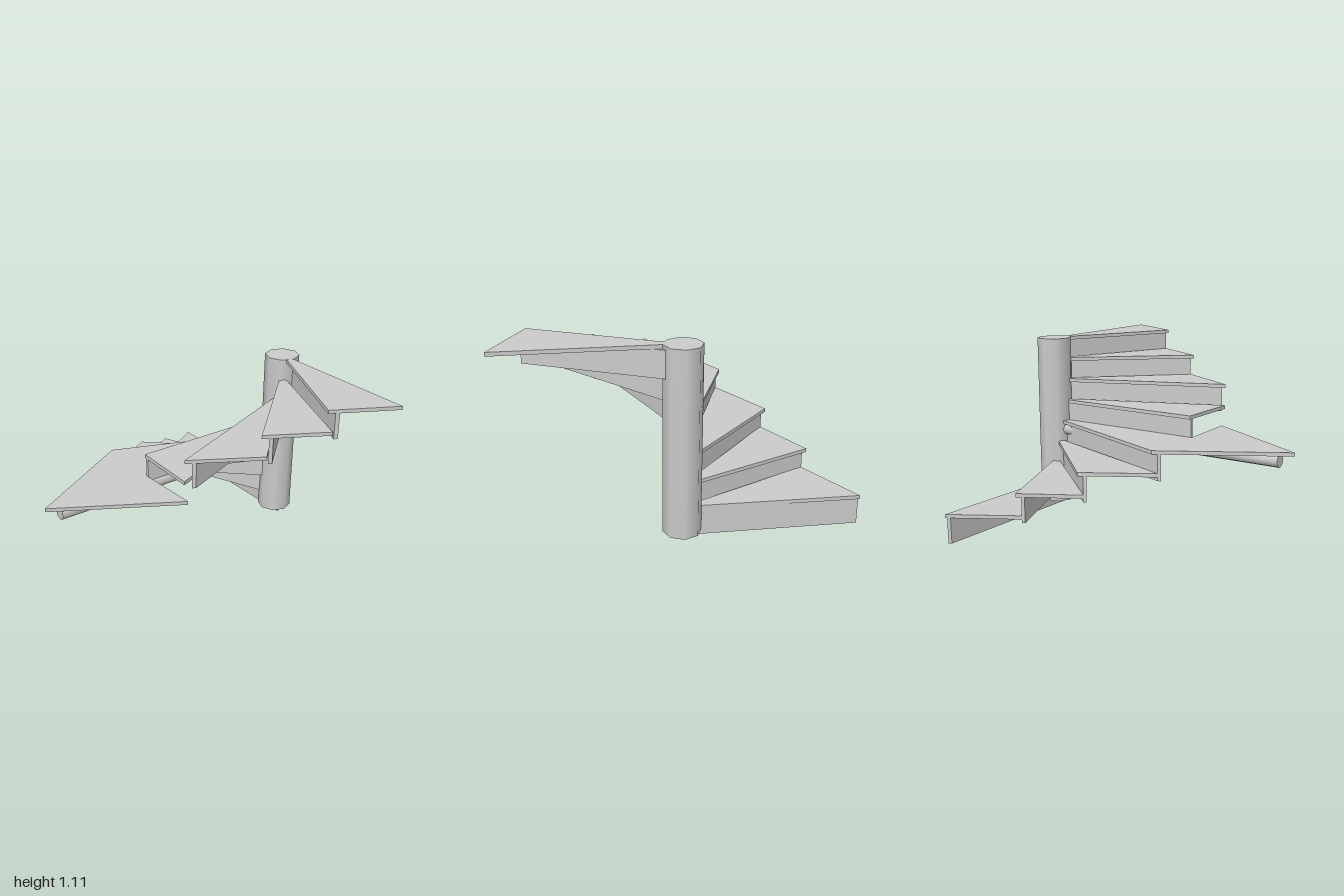
import * as THREE from 'three';

const material = new THREE.MeshStandardMaterial({ color: 0xcccccc });
const RISE = 0.133, FIRST_TOP = 0.178, THICK = 0.022, RISER_HEIGHT = 0.155;
const CENTRE = [0, -0.81];

// Flat slab from an outline of [x, z] points, between two heights
function slab(name, outline, bottom, top) {
  const shape = new THREE.Shape(outline.map(([x, z]) => new THREE.Vector2(x, -z)));
  const geometry = new THREE.ExtrudeGeometry(shape, { depth: top - bottom, bevelEnabled: false });
  geometry.rotateX(-Math.PI / 2).translate(0, bottom, 0);
  const mesh = new THREE.Mesh(geometry, material);
  mesh.name = name;
  return mesh;
}

// Point moved a distance along a direction
const shift = ([x, z], [dx, dz], d) => [x + dx * d, z + dz * d];

export function createModel() {
  const group = new THREE.Group();
  group.name = 'windingStaircase';

  // Outer ends of the step noses, from the lowest step to the highest
  const ends = [
    [-1, -0.82], [-0.79, -0.46], [-0.615, -0.145], [-0.4, 0.22], [-0.01, 0.23],
    [0.397, 0.24], [0.612, -0.125], [0.79, -0.44], [0.99, -0.81],
  ];
  // Directions of the outer sides
  const leftWall = [0.5, 0.866], front = [1, 0], rightWall = [0.5, -0.866];

  for (let i = 0; i < 8; i++) {
    const top = FIRST_TOP + RISE * i;
    const wall = i < 4 ? leftWall : i === 4 ? front : rightWall;

    // Tread: wedge reaching back under the next nose; the fourth is the corner landing
    const reach = i === 4 || i === 7 ? 0 : 0.035;
    const outline = i === 3
      ? [CENTRE, ends[3], [0, 0.91], [0.4, 0.215], [0.01, 0.235]]
      : [CENTRE, ends[i], shift(ends[i + 1], wall, reach)];
    group.add(slab(i === 3 ? 'landing' : 'tread', outline, top - THICK, top));

    // Riser: thin board set back from the nose
    const setBack = i === 0 ? 0.012 : i === 4 ? 0.012 : i > 4 ? 0.042 : 0.032;
    const board = i > 4 ? 0.024 : 0.02;
    const inner = i === 0 ? [0.045, -0.82] : CENTRE;
    group.add(slab('riser', [
      shift(inner, wall, setBack), shift(ends[i], wall, setBack),
      shift(ends[i], wall, setBack + board), shift(inner, wall, setBack + board),
    ], top - THICK - RISER_HEIGHT, top - THICK));
  }

  // Central eight-sided column
  const column = new THREE.Mesh(new THREE.CylinderGeometry(0.107, 0.107, 1.075, 8), material);
  column.position.set(CENTRE[0], 0.5725, CENTRE[1]);
  column.name = 'column';
  group.add(column);

  // Round beam carrying the landing
  const beam = new THREE.Mesh(new THREE.CylinderGeometry(0.039, 0.039, 1.6, 8), material);
  beam.rotation.x = Math.PI / 2;
  beam.position.set(0, 0.516, 0.02);
  beam.name = 'landingBeam';
  group.add(beam);

  return group;
}
